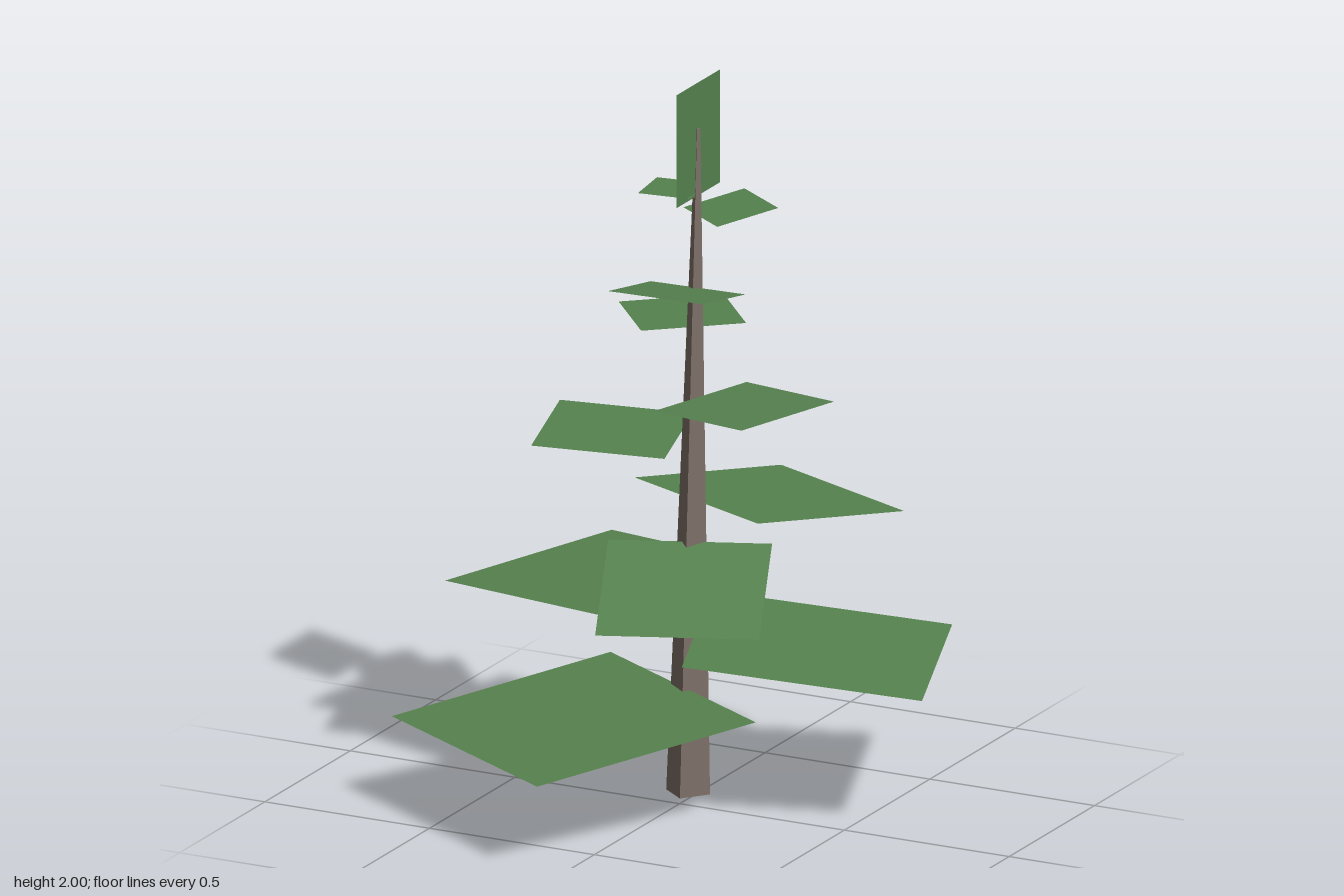
import * as THREE from 'three';

const bark = new THREE.MeshStandardMaterial({ name: 'bark', color: 0x7d7067 });
const needles = new THREE.MeshStandardMaterial({ name: 'needles', color: 0x56824f, side: THREE.DoubleSide });

// Each branch: outer edge from (ax, az) to (bx, bz), outer height, inner height, depth relative to width
const BRANCHES = [
  [-0.70, 0.335, -0.07, 0.70, 0.24, 0.30, 0.96],
  [0.72, -0.03, 0.485, -0.66, 0.39, 0.46, 0.97],
  [-0.525, -0.615, -0.72, -0.015, 0.52, 0.56, 0.95],
  [-0.07, 0.36, 0.34, 0.19, 0.57, 0.71, 0.92],
  [0.425, -0.495, -0.055, -0.70, 0.75, 0.82, 0.98],
  [-0.47, -0.205, -0.355, 0.185, 1.015, 1.00, 0.90],
  [0.37, -0.19, 0.265, 0.15, 1.14, 1.12, -0.93],
  [-0.10, -0.45, -0.32, -0.26, 1.30, 1.30, 0.90],
  [-0.14, 0.15, 0.14, 0.135, 1.475, 1.42, 1.0],
  [0.175, -0.24, 0.015, -0.35, 1.645, 1.62, 0.96],
  [-0.175, -0.205, -0.157, -0.058, 1.69, 1.69, 1.0],
];

function quad(corners) {
  const geo = new THREE.BufferGeometry();
  geo.setAttribute('position', new THREE.Float32BufferAttribute(corners.flat(), 3));
  geo.setIndex([0, 1, 2, 0, 2, 3]);
  geo.computeVertexNormals();
  return geo;
}

// Flat rectangular spray of needles reaching from the trunk to its outer edge
function branchGeometry([ax, az, bx, bz, outerY, innerY, depth]) {
  const dx = (bz - az) * depth;
  const dz = (ax - bx) * depth;
  const corners = [
    [ax, outerY, az],
    [bx, outerY, bz],
    [bx + dx, innerY, bz + dz],
    [ax + dx, innerY, az + dz],
  ];
  return quad(depth < 0 ? corners.reverse() : corners);
}

export function createModel() {
  const model = new THREE.Group();
  model.name = 'pineTree';

  // Tapered four-sided trunk, leaning slightly toward the back
  const height = 1.87;
  let trunkGeo = new THREE.CylinderGeometry(0.007, 0.063, height, 4);
  trunkGeo.rotateY(0.12);
  trunkGeo.translate(0, height / 2, 0);
  const pos = trunkGeo.attributes.position;
  for (let i = 0; i < pos.count; i++) {
    const t = pos.getY(i) / height;
    pos.setX(i, pos.getX(i) - 0.0275 + 0.0105 * t);
    pos.setZ(i, pos.getZ(i) - 0.1025 - 0.0375 * t);
  }
  trunkGeo = trunkGeo.toNonIndexed();
  trunkGeo.computeVertexNormals();
  const trunk = new THREE.Mesh(trunkGeo, bark);
  trunk.name = 'trunk';
  model.add(trunk);

  // Branches spiralling up the trunk
  const branches = new THREE.Group();
  branches.name = 'branches';
  BRANCHES.forEach((spec, i) => {
    const branch = new THREE.Mesh(branchGeometry(spec), needles);
    branch.name = `branch${i + 1}`;
    branches.add(branch);
  });
  model.add(branches);

  // Upright spray at the tip
  const x = -0.018;
  const crown = new THREE.Mesh(
    quad([[x, 1.68, -0.015], [x, 1.68, -0.27], [x, 2, -0.27], [x, 2, -0.015]]),
    needles
  );
  crown.name = 'crown';
  model.add(crown);

  return model;
}
